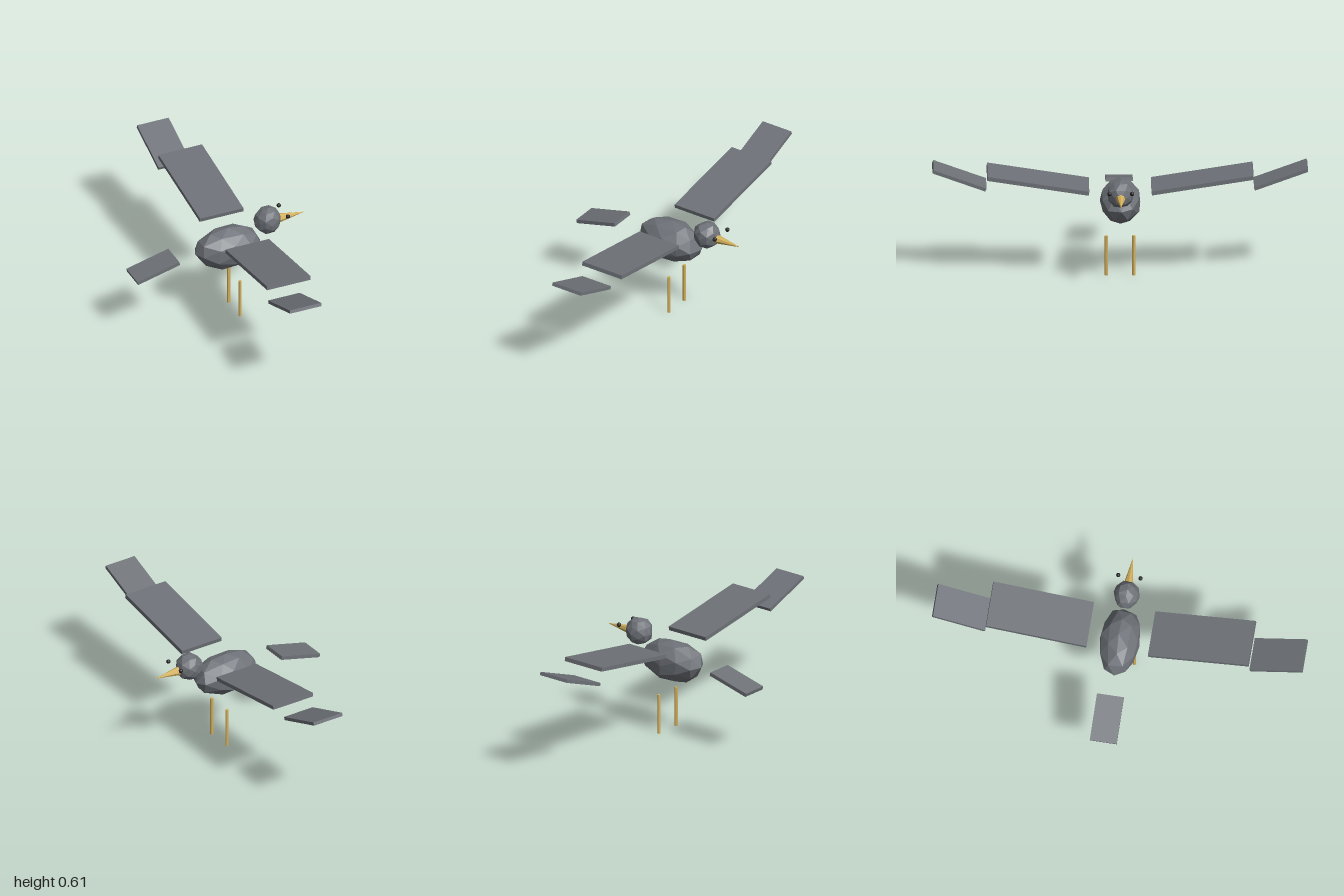
import * as THREE from 'three';
import { mergeVertices } from 'three/addons/utils/BufferGeometryUtils.js';

const mat = (color) => new THREE.MeshStandardMaterial({ color, flatShading: true });
const feather = mat(0x6e7278);
const horn = mat(0xd4b05c);
const black = mat(0x222222);

function seeded(seed) {
  return () => (seed = (seed * 16807) % 2147483647) / 2147483647;
}

// Faceted ball whose corners are shifted slightly, then stretched
function lumpyBall(rx, ry, rz, seed, amount) {
  let geo = new THREE.IcosahedronGeometry(1, 1);
  geo.deleteAttribute('normal');
  geo.deleteAttribute('uv');
  geo = mergeVertices(geo, 1e-3);
  const rnd = seeded(seed);
  const p = geo.attributes.position;
  for (let i = 0; i < p.count; i++) {
    const s = () => (rnd() - 0.5) * 2 * amount;
    p.setXYZ(i, p.getX(i) + s(), p.getY(i) + s(), p.getZ(i) + s());
  }
  geo.scale(rx, ry, rz);
  geo.computeVertexNormals();
  return geo;
}

export function createModel() {
  const bird = new THREE.Group();
  bird.name = 'bird';
  const add = (name, geo, material, x, y, z) => {
    const mesh = new THREE.Mesh(geo, material);
    mesh.name = name;
    mesh.position.set(x, y, z);
    bird.add(mesh);
    return mesh;
  };

  // Body and head
  add('body', lumpyBall(0.185, 0.117, 0.114, 4211, 0.06), feather, 0.055, 0.403, 0);
  add('head', lumpyBall(0.073, 0.076, 0.073, 977, 0.06), feather, 0.286, 0.515, 0);

  // Beak, pointing along +x
  add('beak', new THREE.ConeGeometry(0.025, 0.15, 8), horn, 0.425, 0.508, 0).rotation.z = -Math.PI / 2;

  // Tail feather panel
  add('tail', new THREE.BoxGeometry(0.253, 0.02, 0.145), feather, -0.382, 0.391, 0).rotation.z = 0.25;

  // Paired parts on both flanks
  for (const s of [1, -1]) {
    const side = s > 0 ? 'Right' : 'Left';
    add('innerWing' + side, new THREE.BoxGeometry(0.254, 0.022, 0.548), feather, 0.092, 0.5385, s * 0.4375)
      .rotation.x = -s * 0.156;
    add('outerWing' + side, new THREE.BoxGeometry(0.184, 0.018, 0.3), feather, 0.061, 0.549, s * 0.856)
      .rotation.x = -s * 0.35;
    add('leg' + side, new THREE.CylinderGeometry(0.009, 0.009, 0.22, 8), horn, 0.091, 0.11, s * 0.073);
    add('eye' + side, new THREE.SphereGeometry(0.012, 8, 6), black, 0.377, 0.545, s * 0.06);
  }
  return bird;
}
